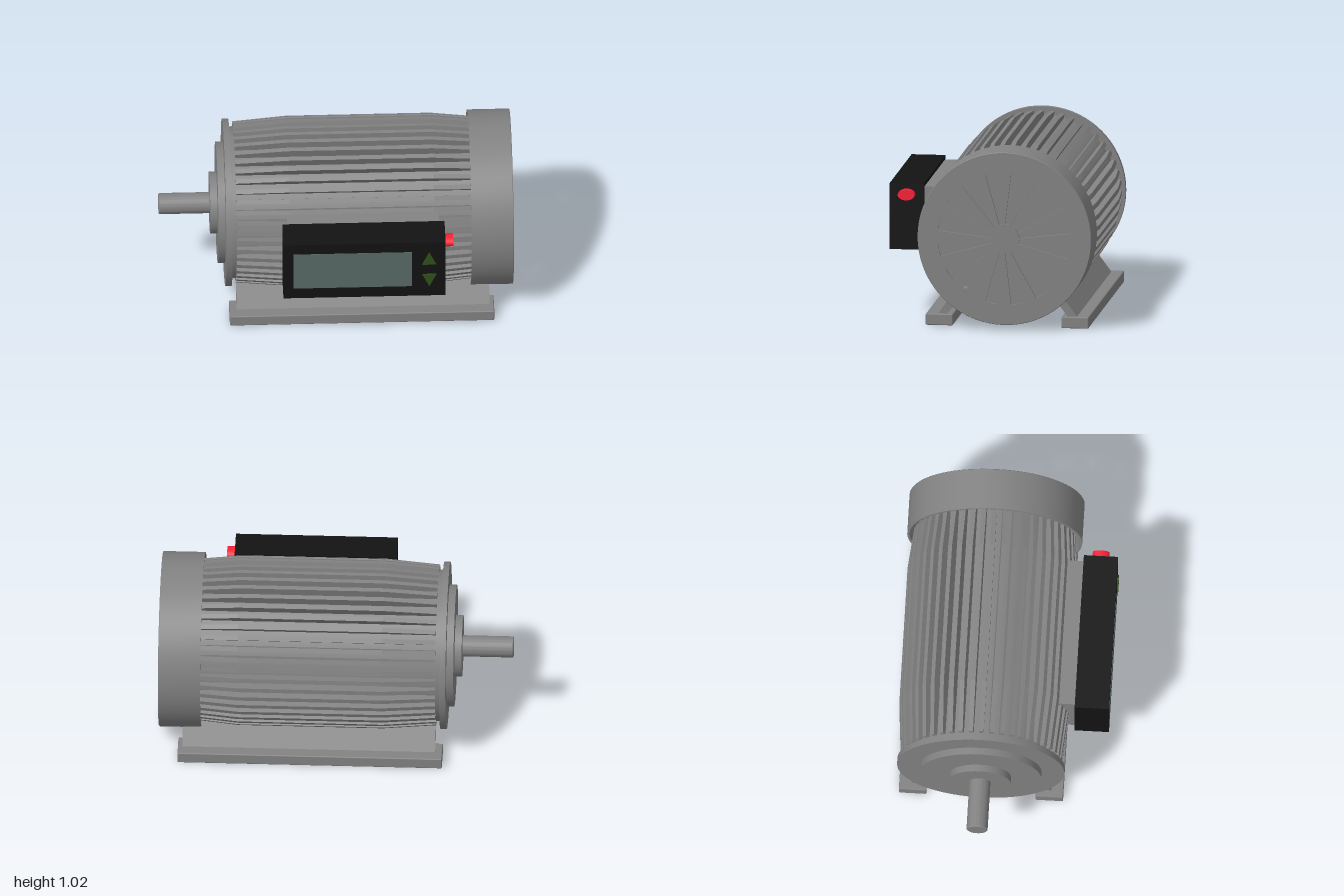
import * as THREE from 'three';
import { toCreasedNormals } from 'three/addons/utils/BufferGeometryUtils.js';
import { RoundedBoxGeometry } from 'three/addons/geometries/RoundedBoxGeometry.js';

const AXIS_Y = 0.527, AXIS_Z = -0.11;

const mat = (color) => new THREE.MeshStandardMaterial({ color });
const grey = mat(0x838383);
const black = mat(0x131313);
const glass = mat(0x596b66);
const green = mat(0x2f521a);
const red = mat(0xf82036);

function add(parent, name, geometry, material = grey) {
  const mesh = new THREE.Mesh(geometry, material);
  mesh.name = name;
  parent.add(mesh);
  return mesh;
}

// Box given by its lower and upper limits on each axis
function box(x0, x1, y0, y1, z0, z1, round = 0) {
  const size = [x1 - x0, y1 - y0, z1 - z0];
  const g = round ? new RoundedBoxGeometry(...size, 1, round) : new THREE.BoxGeometry(...size);
  return g.translate((x0 + x1) / 2, (y0 + y1) / 2, (z0 + z1) / 2);
}

// Turned part about the x axis, profile as [x, radius]
function turned(profile) {
  const points = profile.map(([x, r]) => new THREE.Vector2(r, x));
  return toCreasedNormals(new THREE.LatheGeometry(points, 72).rotateZ(-Math.PI / 2), 0.5);
}

const polygon = (points) => new THREE.Shape(points.map((p) => new THREE.Vector2(...p)));
const extrude = (shape, depth, curveSegments = 12) =>
  new THREE.ExtrudeGeometry(shape, { depth, bevelEnabled: false, curveSegments });

function createDrive() {
  const drive = new THREE.Group();
  drive.name = 'motorBody';
  drive.position.set(0, AXIS_Y, AXIS_Z);

  // Output shaft and stepped front flange
  add(drive, 'shaft', turned([[-1, 0], [-1, 0.055], [-0.995, 0.06], [-0.7, 0.06]]));
  add(drive, 'flange', turned([
    [-0.71, 0], [-0.71, 0.175], [-0.67, 0.175], [-0.67, 0.345], [-0.63, 0.345],
    [-0.63, 0.475], [-0.595, 0.475], [-0.595, 0.43], [-0.56, 0.43],
  ]));

  // Core, ending just inside the hollow fan cover
  add(drive, 'core', turned([[-0.57, 0], [-0.57, 0.43], [0.78, 0.43], [0.78, 0]]));

  // Cooling fins around the core
  const fins = new THREE.Group();
  fins.name = 'coolingFins';
  drive.add(fins);
  const finShape = polygon([
    [-0.57, 0.4], [0.78, 0.4], [0.78, 0.46], [0.55, 0.483], [-0.27, 0.483], [-0.57, 0.458],
  ]);
  const finGeometry = extrude(finShape, 0.026).translate(0, 0, -0.013);
  const finCount = 48;
  for (let i = 0; i < finCount; i++) {
    add(fins, 'fin', finGeometry).rotation.x = (i / finCount) * Math.PI * 2;
  }

  // Hollow fan cover: rim plus a thin plate with radial vents
  add(drive, 'fanCoverRim', turned([
    [0.985, 0.484], [0.76, 0.484], [0.76, 0.497], [0.997, 0.497], [1, 0.494],
  ]));
  const plate = new THREE.Shape().absarc(0, 0, 0.494, 0, Math.PI * 2, false);
  const slots = 16;
  for (let i = 0; i < slots; i++) {
    const a = ((i + 0.5) / slots) * Math.PI * 2;
    const corner = (r, d) => new THREE.Vector2(r * Math.cos(a + d), r * Math.sin(a + d));
    plate.holes.push(new THREE.Path([
      corner(0.085, -0.16), corner(0.085, 0.16), corner(0.38, 0.096), corner(0.382, 0), corner(0.38, -0.096),
    ]));
  }
  add(drive, 'fanCoverGrille', extrude(plate, 0.015, 72).rotateY(Math.PI / 2).translate(0.985, 0, 0));
  return drive;
}

function createFoot(side) {
  const foot = new THREE.Group();
  foot.name = side > 0 ? 'frontFoot' : 'backFoot';
  foot.position.z = AXIS_Z;
  // Base rail
  const rail = side > 0 ? [0.31, 0.466] : [-0.466, -0.31];
  add(foot, 'footRail', box(-0.61, 0.89, 0, 0.065, ...rail, 0.006));
  // Slanted web reaching up into the core; shape x becomes -z after the turn
  const web = [[0.405, 0.055], [0.29, 0.21], [0.235, 0.21], [0.35, 0.055]];
  const corners = web.map(([z, y]) => [-side * z, y]);
  add(foot, 'footWeb', extrude(polygon(corners), 1.435).rotateY(Math.PI / 2).translate(-0.57, 0, 0));
  return foot;
}

function createControlBox() {
  const unit = new THREE.Group();
  unit.name = 'controlBox';
  add(unit, 'mount', box(-0.29, 0.575, 0.4, 0.74, 0.22, 0.42));
  add(unit, 'housing', box(-0.315, 0.605, 0.38, 0.76, 0.405, 0.6), black);
  add(unit, 'screen', box(-0.257, 0.415, 0.45, 0.693, 0.59, 0.602), glass);
  // Up and down keys, from base to tip
  const key = (name, base, tip) => {
    const corners = [[0.472, base], [0.552, base], [0.512, tip]];
    add(unit, name, extrude(polygon(corners), 0.02).translate(0, 0, 0.587), green);
  };
  key('upKey', 0.605, 0.69);
  key('downKey', 0.535, 0.45);
  // Oval push button on the end
  const button = new THREE.CylinderGeometry(0.97, 1, 0.05, 32).rotateZ(-Math.PI / 2);
  add(unit, 'pushButton', button.scale(1, 0.031, 0.049).translate(0.625, 0.7, 0.501), red);
  return unit;
}

export function createModel() {
  const model = new THREE.Group();
  model.name = 'electricMotor';
  model.add(createDrive(), createFoot(1), createFoot(-1), createControlBox());
  return model;
}
